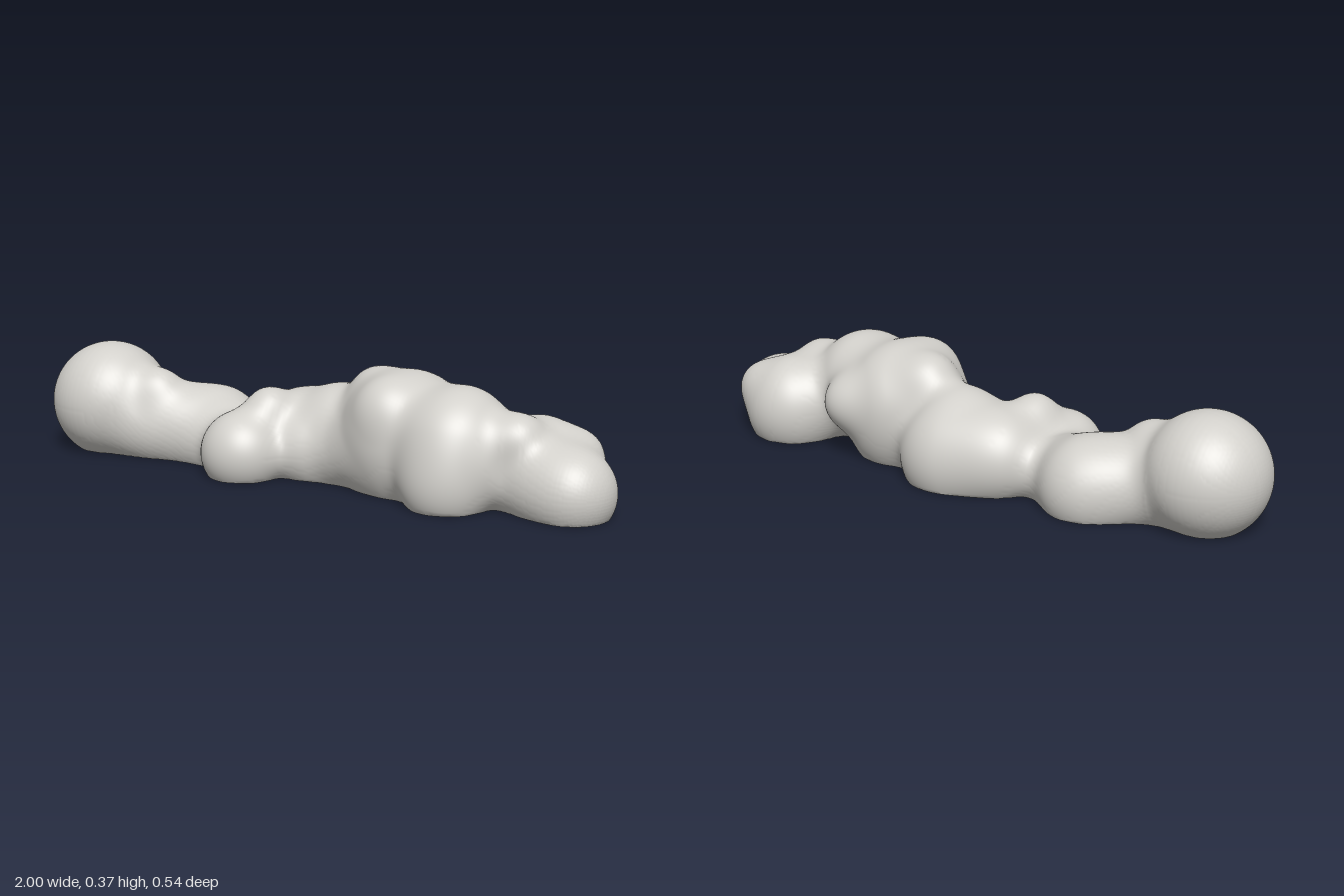
import * as THREE from 'three';
import { toCreasedNormals } from 'three/addons/utils/BufferGeometryUtils.js';

// Lumps that melt into one another: x, y, z, radius
const LUMPS = [
  [-0.805, 0.16, 0.04, 0.195],  // big round end
  [-0.65, 0.09, 0.035, 0.13],
  [-0.605, 0.215, 0.045, 0.068],
  [-0.55, 0.09, 0.0, 0.135],
  [-0.45, 0.07, -0.05, 0.16],
  [-0.4, 0.06, 0.02, 0.09],
  [-0.32, 0.06, 0.0, 0.12],
  [-0.22, 0.075, 0.135, 0.135], // front lobe
  [-0.17, 0.2, 0.055, 0.075],
  [-0.12, 0.1, -0.07, 0.155],
  [-0.05, 0.08, 0.03, 0.1],
  [0.02, 0.08, -0.08, 0.19],    // back lobe
  [0.04, 0.18, -0.05, 0.1],
  [0.15, 0.1, 0.02, 0.125],
  [0.17, 0.275, -0.04, 0.085],
  [0.28, 0.265, 0.095, 0.085],
  [0.3, 0.17, 0, 0.203],        // highest part
  [0.3, 0.08, 0, 0.165],
  [0.5, 0.19, 0.045, 0.165],
  [0.5, 0.17, 0.1, 0.14],
  [0.5, 0.07, 0.125, 0.14],     // front lobe
  [0.42, 0.18, -0.135, 0.083],
  [0.6, 0.13, 0.03, 0.13],
  [0.71, 0.115, -0.07, 0.148],
  [0.72, 0.07, -0.07, 0.15],    // back lobe
  [0.7, 0.215, 0.055, 0.075],
  [0.76, 0.08, 0.025, 0.115],
  [0.83, 0.15, -0.105, 0.068],
  [0.86, 0.07, 0.03, 0.14],     // small round end
];
const BLEND = 0.065;

// Line through the middle of the lumps: x, y, z
const SPINE = [
  [-1, 0.16, 0.04], [-0.78, 0.16, 0.04], [-0.6, 0.1, 0.02], [-0.45, 0.08, -0.03],
  [-0.33, 0.07, 0.01], [-0.2, 0.08, 0.03], [0, 0.08, -0.04], [0.3, 0.1, 0],
  [0.5, 0.1, 0.03], [0.7, 0.08, -0.02], [0.86, 0.07, 0.03], [1, 0.07, 0.03],
];

// Signed distance to the blended lumps
function distance(x, y, z) {
  let d = 1;
  for (const [cx, cy, cz, r] of LUMPS) {
    const s = Math.hypot(x - cx, y - cy, z - cz) - r;
    const h = Math.max(BLEND - Math.abs(d - s), 0) / BLEND;
    d = Math.min(d, s) - h * h * BLEND * 0.25;
  }
  return d;
}

function spineAt(x) {
  let i = 0;
  while (i < SPINE.length - 2 && x > SPINE[i + 1][0]) i++;
  const a = SPINE[i], b = SPINE[i + 1];
  const t = (x - a[0]) / (b[0] - a[0]);
  return [a[1] + (b[1] - a[1]) * t, a[2] + (b[2] - a[2]) * t];
}

// Outermost surface radius on a ray leaving the spine
function radiusAt(x, cy, cz, dy, dz) {
  const f = (r) => distance(x, cy + dy * r, cz + dz * r);
  const step = 0.012;
  let hi = 0.42;
  while (hi > 0 && f(hi) > 0) hi -= step;
  if (hi <= 0) return 0;
  let lo = hi;
  hi += step;
  for (let i = 0; i < 10; i++) {
    const m = (lo + hi) / 2;
    if (f(m) > 0) hi = m; else lo = m;
  }
  return lo;
}

// Skin made of rings along x, flattened on the ground
function blobGeometry(rings, sides) {
  const pos = [], index = [];
  for (let i = 0; i <= rings; i++) {
    const x = -Math.cos((Math.PI * i) / rings);
    const [cy, cz] = spineAt(x);
    for (let j = 0; j < sides; j++) {
      const a = (2 * Math.PI * j) / sides;
      const dy = Math.sin(a), dz = Math.cos(a);
      const r = radiusAt(x, cy, cz, dy, dz);
      pos.push(x, Math.max(0, cy + dy * r), cz + dz * r);
    }
  }
  for (let i = 0; i < rings; i++) {
    for (let j = 0; j < sides; j++) {
      const k = (j + 1) % sides;
      const a = i * sides + j, b = i * sides + k;
      const c = a + sides, d = b + sides;
      index.push(a, c, b, b, c, d);
    }
  }
  const g = new THREE.BufferGeometry();
  g.setAttribute('position', new THREE.Float32BufferAttribute(pos, 3));
  g.setIndex(index);
  return toCreasedNormals(g, 0.7);
}

export function createModel() {
  const stone = new THREE.MeshStandardMaterial({ color: 0xd2d0cb });
  stone.name = 'pale grey';
  const group = new THREE.Group();
  group.name = 'lumpyMound';
  const body = new THREE.Mesh(blobGeometry(260, 128), stone);
  body.name = 'mound';
  group.add(body);
  return group;
}
